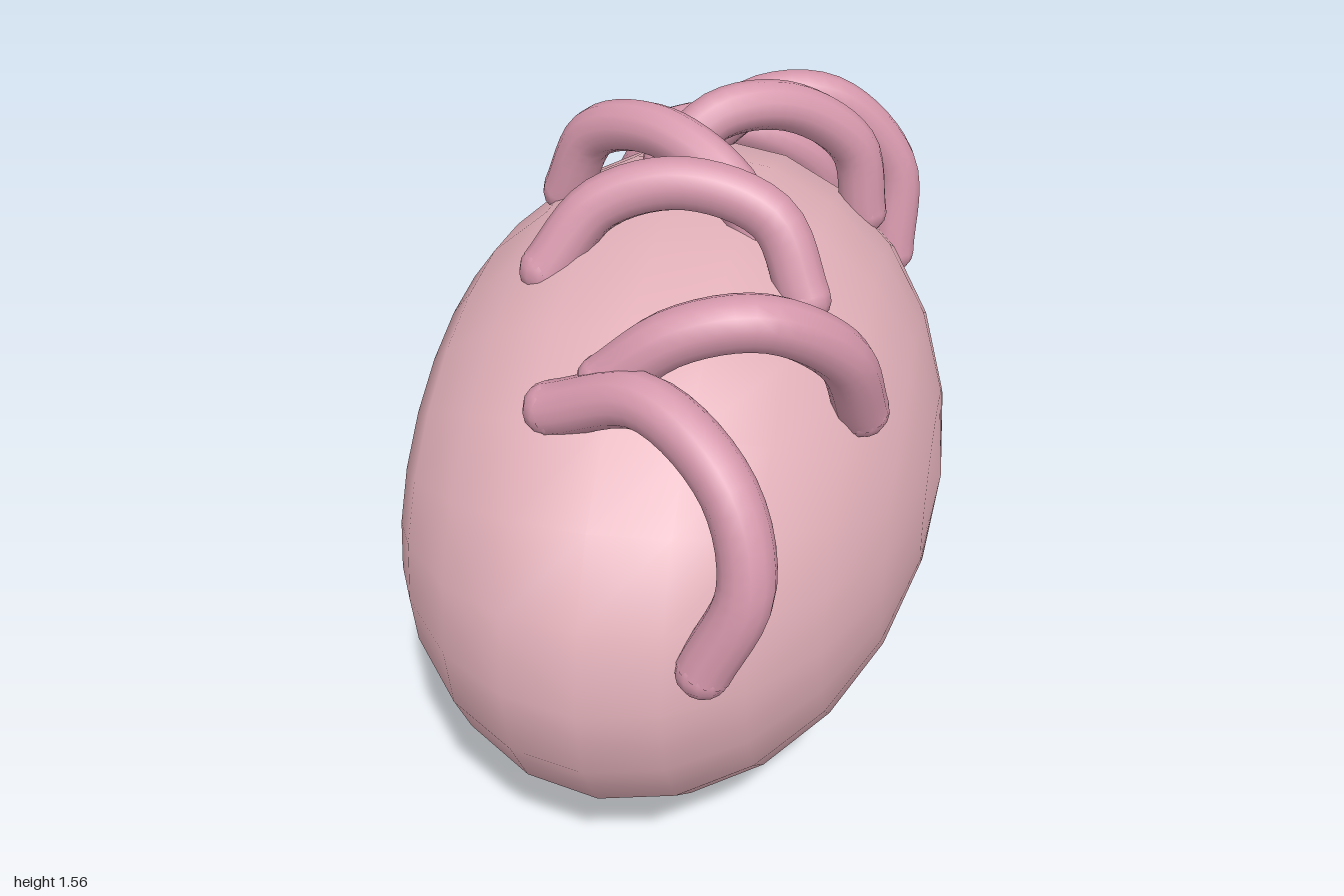
import * as THREE from 'three';

const TUBE = 0.058;

// Five centre-line points for each arched loop, from the front to the back
const LOOPS = [
  [[-.19, 1.18, .66], [.02, 1.26, .73], [.2, 1.16, .84], [.25, .98, .9], [.17, .78, .915]],
  [[-.08, 1.25, .65], [.06, 1.36, .64], [.22, 1.385, .6], [.36, 1.27, .49], [.4, 1.08, .38]],
  [[-.31, 1.28, .265], [-.2, 1.42, .21], [-.02, 1.47, .18], [.17, 1.41, .185], [.25, 1.25, .23]],
  [[-.37, 1.29, -.13], [-.29, 1.45, -.1], [-.12, 1.5, -.02], [.05, 1.43, .06], [.12, 1.32, .08]],
  [[-.13, 1.38, -.14], [-.02, 1.47, -.22], [.13, 1.46, -.32], [.27, 1.34, -.4], [.3, 1.17, -.41]],
  [[-.11, 1.3, -.48], [.02, 1.4, -.51], [.19, 1.39, -.57], [.35, 1.21, -.62], [.36, .98, -.59]],
  [[-.35, 1.07, -.71], [-.25, 1.22, -.7], [-.05, 1.23, -.73], [.13, 1.09, -.83], [.13, .8, -.92]],
];

function createBody(material) {
  // Profile of a unit ball cut flat near one pole; the axis becomes x
  const cut = -0.5 / 0.63;
  const points = [0, 0.3, 0.6].map((r) => new THREE.Vector2(r, cut));
  for (let i = 9; i >= 0; i--) {
    const a = i * Math.PI / 12;
    points.push(new THREE.Vector2(Math.sin(a), Math.cos(a)));
  }
  const geometry = new THREE.LatheGeometry(points, 24);
  geometry.rotateZ(-Math.PI / 2);
  geometry.scale(0.63, 0.69, 1);
  geometry.translate(-0.07, 0.69, 0);
  const body = new THREE.Mesh(geometry, material);
  body.name = 'body';
  return body;
}

function createLoop(coords, material) {
  const loop = new THREE.Group();
  const points = coords.map((p) => new THREE.Vector3(...p));
  const curve = new THREE.CatmullRomCurve3(points);
  const arch = new THREE.Mesh(new THREE.TubeGeometry(curve, 24, TUBE, 12), material);
  arch.name = 'arch';
  loop.add(arch);
  // Rounded ends resting in the body
  for (const p of [points[0], points[points.length - 1]]) {
    const end = new THREE.Mesh(new THREE.SphereGeometry(TUBE, 12, 8), material);
    end.name = 'archEnd';
    end.position.copy(p);
    loop.add(end);
  }
  return loop;
}

export function createModel() {
  const bodyPink = new THREE.MeshStandardMaterial({ color: 0xe2b0b9 });
  bodyPink.name = 'pale pink';
  const loopPink = new THREE.MeshStandardMaterial({ color: 0xd698ac });
  loopPink.name = 'rose pink';

  const model = new THREE.Group();
  model.name = 'loopedBody';
  model.add(createBody(bodyPink));
  LOOPS.forEach((coords, i) => {
    const loop = createLoop(coords, loopPink);
    loop.name = `loop${i + 1}`;
    model.add(loop);
  });
  return model;
}
